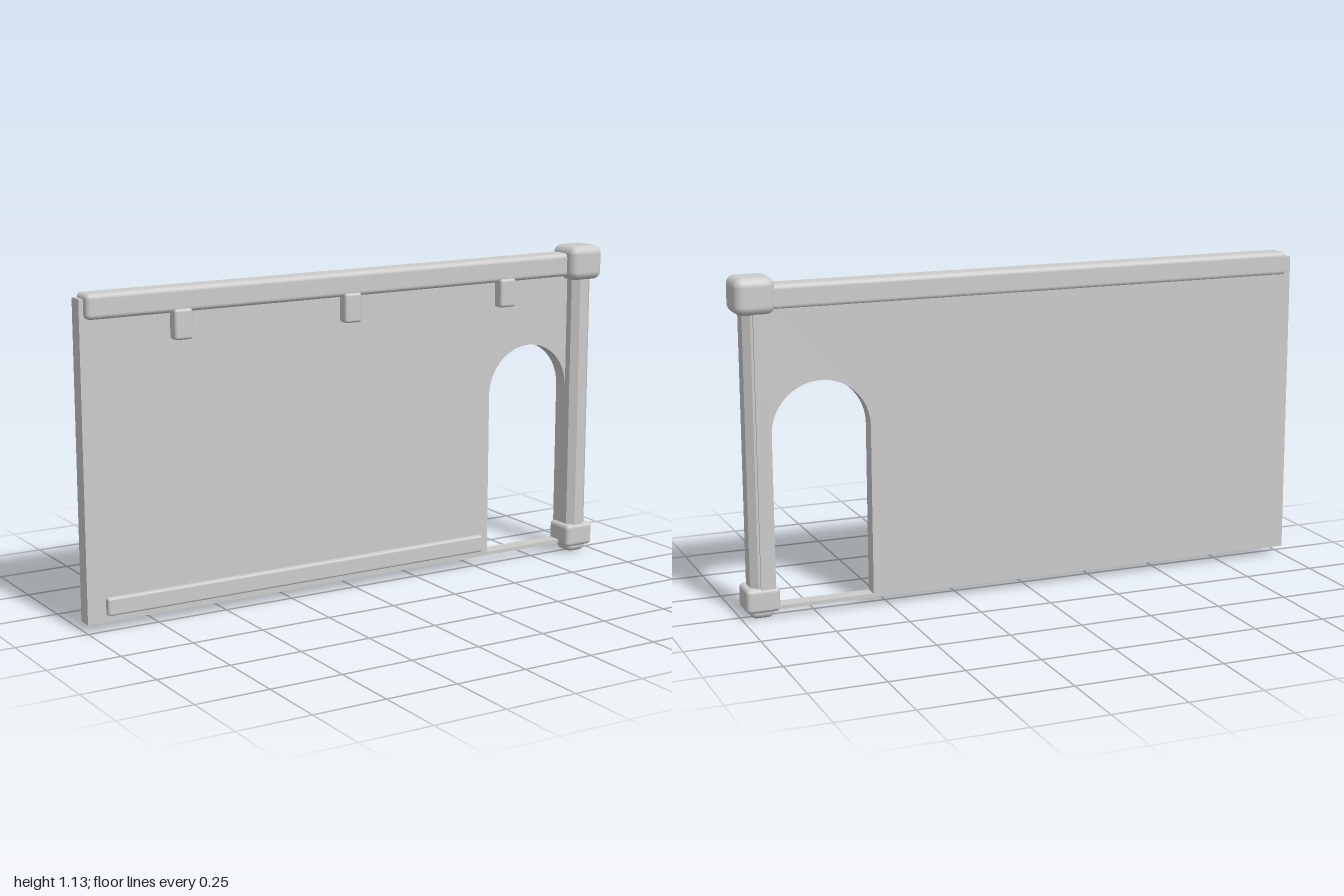
import * as THREE from 'three';
import { RoundedBoxGeometry } from 'three/addons/geometries/RoundedBoxGeometry.js';

export function createModel() {
  const model = new THREE.Group();
  model.name = 'wallPanel';
  const grey = new THREE.MeshStandardMaterial({ color: 0xcccccc });
  grey.name = 'grey';

  function add(name, geometry) {
    const mesh = new THREE.Mesh(geometry, grey);
    mesh.name = name;
    model.add(mesh);
    return mesh;
  }

  // Rounded block given by its low and high corners
  function block(name, [x0, y0, z0], [x1, y1, z1], radius) {
    const geometry = new RoundedBoxGeometry(x1 - x0, y1 - y0, z1 - z0, 3, radius);
    add(name, geometry).position.set((x0 + x1) / 2, (y0 + y1) / 2, (z0 + z1) / 2);
  }

  // Wall with an arched doorway
  const wall = new THREE.Shape();
  wall.moveTo(-1, 0.03);
  wall.lineTo(0.94, 0.03);
  wall.lineTo(0.94, 1.085);
  wall.lineTo(-1, 1.085);
  wall.closePath();
  const door = new THREE.Path();
  door.moveTo(0.556, 0.043);
  door.lineTo(0.556, 0.616);
  door.absarc(0.723, 0.616, 0.167, Math.PI, 0, true);
  door.lineTo(0.89, 0.043);
  door.closePath();
  wall.holes.push(door);
  const wallGeometry = new THREE.ExtrudeGeometry(wall, { depth: 0.052, bevelEnabled: false, curveSegments: 24 });
  wallGeometry.translate(0, 0, -0.052);
  add('wall', wallGeometry);

  // Top rail and low skirting strip
  block('topRail', [-0.985, 1.02, -0.057], [0.9, 1.102, 0.03], 0.016);
  block('skirtingStrip', [-0.935, 0.053, -0.02], [0.525, 0.113, 0.02], 0.008);

  // Small tabs hanging under the rail
  for (const x of [-0.655, -0.025, 0.607]) {
    block('railTab', [x - 0.032, 0.932, -0.02], [x + 0.032, 1.032, 0.038], 0.01);
  }

  // Corner post with chamfered edges
  const w = 0.04, d = 0.047, c = 0.022;
  const section = new THREE.Shape([
    [-w, -d + c], [-w + c, -d], [w - c, -d], [w, -d + c],
    [w, d - c], [w - c, d], [-w + c, d], [-w, d - c],
  ].map(([x, y]) => new THREE.Vector2(x, y)));
  const postGeometry = new THREE.ExtrudeGeometry(section, { depth: 0.96, bevelEnabled: false });
  postGeometry.rotateX(-Math.PI / 2);
  add('post', postGeometry).position.set(0.93, 0.07, 0.001);

  // Post cap, base and foot
  block('postCap', [0.865, 1.006, -0.067], [1, 1.128, 0.067], 0.03);
  block('postBase', [0.875, 0.023, -0.056], [0.989, 0.106, 0.054], 0.015);
  block('postFoot', [0.893, 0, -0.042], [0.971, 0.06, 0.042], 0.02);

  return model;
}
